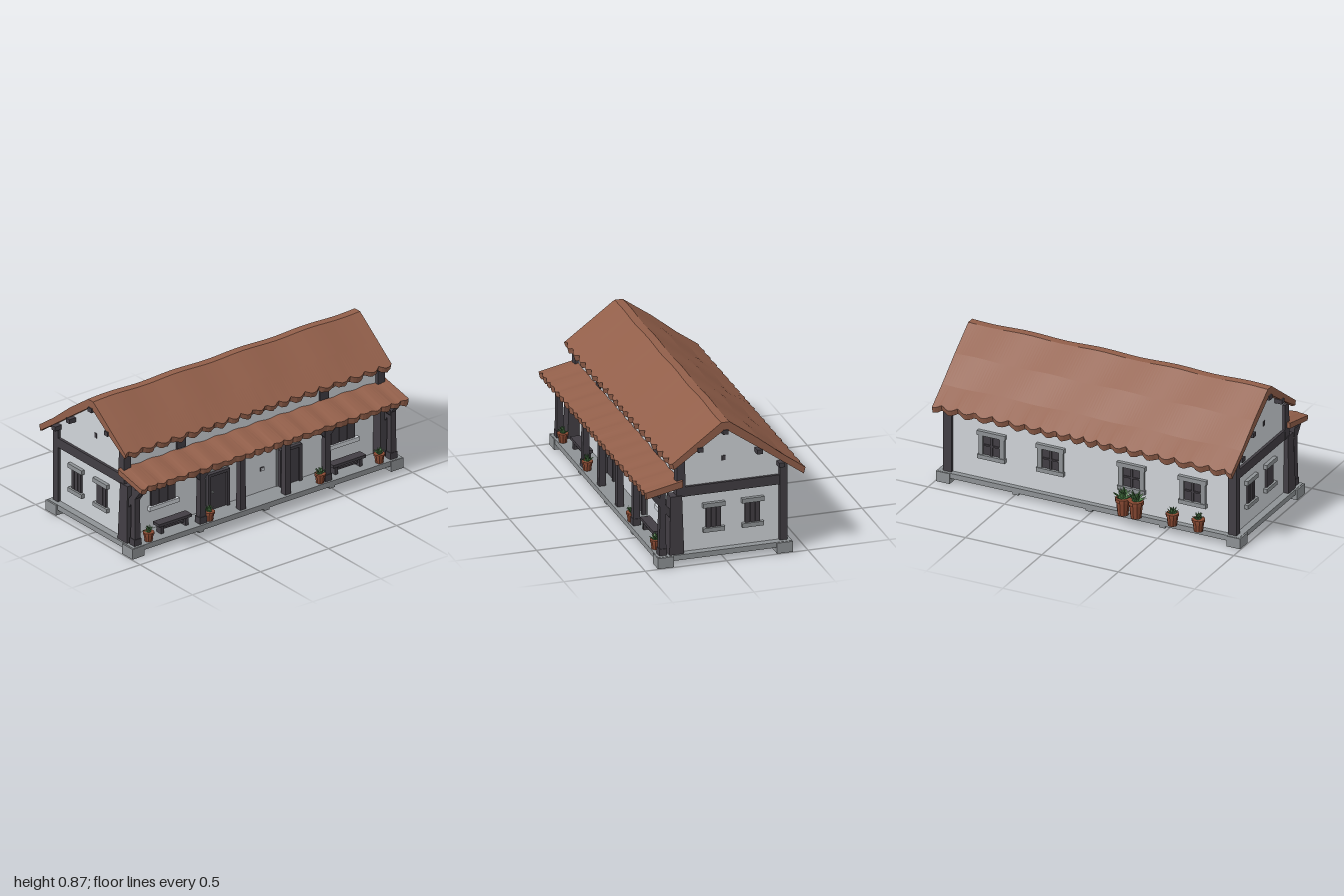
import * as THREE from 'three';

const mat = (name, color, extra = {}) =>
  Object.assign(new THREE.MeshStandardMaterial({ color, flatShading: true, ...extra }), { name });
const M = {
  plaster: mat('plaster', 0xd0d4d9),
  stone: mat('stone', 0x8f9396),
  wood: mat('dark wood', 0x423e44),
  tile: mat('roof tile', 0x925f4a),
  clay: mat('clay', 0x8a4a33),
  leaf: mat('leaf', 0x4a7a45, { side: THREE.DoubleSide }),
};

let seed = 7;
const rand = () => (seed = (seed * 16807) % 2147483647) / 2147483647;

export function createModel() {
  const root = new THREE.Group();
  root.name = 'farmhouse';

  const add = (name, geo, m, parent = root) => {
    const mesh = new THREE.Mesh(geo, m);
    mesh.name = name;
    parent.add(mesh);
    return mesh;
  };
  // box given by its minimum and maximum corners
  const box = (name, m, x0, x1, y0, y1, z0, z1, parent) => {
    const mesh = add(name, new THREE.BoxGeometry(x1 - x0, y1 - y0, z1 - z0), m, parent);
    mesh.position.set((x0 + x1) / 2, (y0 + y1) / 2, (z0 + z1) / 2);
    return mesh;
  };
  // square timber between two points, tapering from w0 to w1
  const timber = (name, a, b, w0, w1 = w0) => {
    const p = new THREE.Vector3(...a), q = new THREE.Vector3(...b), d = q.clone().sub(p);
    const geo = new THREE.CylinderGeometry(w1 / Math.SQRT2, w0 / Math.SQRT2, d.length(), 4).rotateY(Math.PI / 4);
    const mesh = add(name, geo, M.wood);
    mesh.position.copy(p).add(q).multiplyScalar(0.5);
    mesh.quaternion.setFromUnitVectors(new THREE.Vector3(0, 1, 0), d.normalize());
    return mesh;
  };
  // sweep a closed [z, y] cross-section along x
  const sweep = (name, m, half, steps, section) => {
    const rows = [];
    for (let i = 0; i <= steps; i++) {
      const x = -half + (2 * half * i) / steps;
      rows.push(section(x, i).map(([z, y]) => [x, y, z]));
    }
    const pos = [], n = rows[0].length;
    const quad = (a, b, c, d) => pos.push(...a, ...b, ...c, ...a, ...c, ...d);
    for (let i = 0; i < steps; i++)
      for (let j = 0; j < n; j++) {
        const k = (j + 1) % n;
        quad(rows[i][j], rows[i + 1][j], rows[i + 1][k], rows[i][k]);
      }
    for (let j = 0; j < n / 2 - 1; j++) {
      const f = rows[0], l = rows[steps];
      quad(f[j], f[j + 1], f[n - 2 - j], f[n - 1 - j]);
      quad(l[n - 1 - j], l[n - 2 - j], l[j + 1], l[j]);
    }
    const geo = new THREE.BufferGeometry();
    geo.setAttribute('position', new THREE.Float32BufferAttribute(pos, 3));
    geo.computeVertexNormals();
    return add(name, geo, m);
  };

  // stone base: slab, corner feet and joists underneath
  box('baseSlab', M.stone, -0.985, 0.985, 0.035, 0.068, -0.405, 0.415);
  for (const x of [-0.95, 0.95])
    for (const z of [-0.362, 0.37]) box('baseFoot', M.stone, x - 0.045, x + 0.045, 0, 0.066, z - 0.048, z + 0.05);
  for (const x of [-0.48, 0, 0.48]) box('baseJoist', M.stone, x - 0.02, x + 0.02, 0.02, 0.04, -0.4, 0.41);

  // plastered walls with gables
  const outline = new THREE.Shape(
    [[0.27, 0.06], [0.27, 0.645], [0, 0.825], [-0.37, 0.57], [-0.37, 0.06]].map(p => new THREE.Vector2(...p)));
  add('walls', new THREE.ExtrudeGeometry(outline, { depth: 1.88, bevelEnabled: false })
    .translate(0, 0, -0.94).rotateY(-Math.PI / 2), M.plaster);

  // main roof with scalloped eaves and a wavy ridge
  const scallop = x => 0.022 * Math.abs(Math.sin((x * Math.PI) / 0.1 + 0.7 * Math.sin(5 * x)));
  sweep('mainRoof', M.tile, 0.98, 112, x => {
    const f = scallop(x + 0.03), b = scallop(x), r = 0.004 * Math.sin(13 * x), jag = 0.012 * rand();
    return [
      [0.318 + f, 0.65 - f * 0.7], [0.19, 0.745 + r], [0.025, 0.866 + r], [-0.025, 0.866 + r],
      [-0.2, 0.74 - r], [-0.36, 0.612 + r], [-0.47 - b, 0.535 - b * 0.8],
      [-0.46 - b, 0.5 - b * 0.8 - jag * 0.4], [-0.36, 0.567], [-0.2, 0.682],
      [-0.01, 0.816], [0.01, 0.816], [0.17, 0.708], [0.308 + f, 0.622 - f * 0.7 - jag],
    ];
  });
  // porch roof
  sweep('porchRoof', M.tile, 0.98, 112, x => {
    const f = scallop(x * 1.3) * 0.6, w = 0.004 * Math.sin(40 * x), jag = 0.01 * rand();
    return [[0.482 + f, 0.482 - f * 0.4 + w], [0.26, 0.527 + w], [0.26, 0.488], [0.475 + f, 0.45 - f * 0.4 - jag]];
  });

  // timber frame on both gable ends
  for (const s of [-1, 1]) {
    const span = (a, b) => [Math.min(s * a, s * b), Math.max(s * a, s * b)];
    box('gableBeam', M.wood, ...span(0.9, 0.957), 0.42, 0.48, -0.345, 0.29);
    box('rearPost', M.wood, ...span(0.905, 0.96), 0.066, 0.56, -0.387, -0.34);
    timber('frontPost', [s * 0.93, 0.066, 0.297], [s * 0.93, 0.43, 0.297], 0.09, 0.07);
    timber('upperFrontPost', [s * 0.932, 0.42, 0.266], [s * 0.932, 0.64, 0.266], 0.055, 0.05);
    timber('sideBrace', [s * 0.94, 0.3, 0.315], [s * 0.94, 0.455, 0.44], 0.035);
    // purlin ends under the roof
    for (const [z, y] of [[0, 0.805], [0.155, 0.712], [-0.21, 0.653], [-0.345, 0.552]])
      box('purlinEnd', M.wood, ...span(0.93, 0.988), y - 0.014, y + 0.014, z - 0.017, z + 0.017);
    // gable vent
    box('gableVent', M.wood, ...span(0.938, 0.944), 0.612, 0.642, -0.011, 0.011);
  }

  // porch posts, eave beam and braces
  for (const x of [-0.94, -0.46, -0.165, 0.165, 0.46, 0.94]) {
    timber('porchPost', [x, 0.066, 0.378], [x, 0.46, 0.378], 0.042, 0.034);
    if (Math.abs(x) < 0.3) continue;
    box('postFoot', M.wood, x - 0.025, x + 0.025, 0.066, 0.11, 0.354, 0.402);
    for (const s of [-1, 1])
      if (Math.abs(x + s * 0.1) < 0.95) timber('postBrace', [x, 0.35, 0.378], [x + s * 0.095, 0.445, 0.378], 0.026);
  }
  box('porchBeam', M.wood, -0.96, 0.96, 0.438, 0.464, 0.362, 0.394);

  // window facing +z at its own origin, turned onto a wall
  const makeWindow = (x, y, z, turn, w, h, framed) => {
    const g = new THREE.Group();
    g.name = 'window';
    const a = w / 2, b = h / 2;
    box('pane', M.wood, -a, a, -b, b, -0.004, 0.004, g);
    box('lintel', M.stone, -a - 0.022, a + 0.022, b, b + 0.028, -0.01, 0.022, g);
    box('sill', M.stone, -a - 0.02, a + 0.02, -b - 0.026, -b, -0.01, 0.022, g);
    if (framed) {
      for (const s of [-1, 1]) box('jamb', M.stone, s * a - 0.014, s * a + 0.014, -b, b, -0.01, 0.016, g);
      box('mullion', M.wood, -0.006, 0.006, -b, b, 0, 0.012, g);
      box('crossbar', M.wood, -a, a, -0.005, 0.005, 0, 0.011, g);
    } else {
      for (let i = 0; i < 3; i++)
        box('shutterBoard', M.wood, -a + (i * w) / 3 + 0.002, -a + ((i + 1) * w) / 3 - 0.002, -b, b, 0, 0.01, g);
    }
    g.position.set(x, y, z);
    g.rotation.y = turn;
    root.add(g);
    return g;
  };
  for (const s of [-1, 1]) {
    for (const z of [0.063, -0.177]) makeWindow(s * 0.941, 0.267, z, (s * Math.PI) / 2, 0.092, 0.128, false);
    makeWindow(s * 0.66, 0.275, 0.271, 0, 0.18, 0.11, false).children[2].material = M.plaster;
    box('upperWindow', M.wood, s * 0.525 - 0.034, s * 0.525 + 0.034, 0.53, 0.61, 0.26, 0.278);
    // door in a stone surround
    const d = s * 0.265;
    box('doorSurround', M.stone, d - 0.09, d + 0.09, 0.066, 0.34, 0.26, 0.275);
    box('door', M.wood, d - 0.075, d + 0.075, 0.066, 0.3, 0.265, 0.288);
    for (const e of [-1, 1])
      box('doorJamb', M.wood, d + e * 0.07 - 0.01, d + e * 0.07 + 0.01, 0.066, 0.305, 0.27, 0.3);
    box('doorHead', M.wood, d - 0.08, d + 0.08, 0.288, 0.306, 0.27, 0.3);
    box('doorHandle', M.stone, d - 0.047, d - 0.037, 0.175, 0.19, 0.285, 0.298);
    // small wall vent
    box('wallVent', M.wood, s * 0.072 - 0.015, s * 0.072 + 0.015, 0.2, 0.224, 0.268, 0.274);
    box('ventCover', M.plaster, s * 0.072 - 0.011, s * 0.072 + 0.011, 0.204, 0.22, 0.27, 0.277);
    // bench
    const c = s * 0.64;
    box('benchSeat', M.wood, c - 0.12, c + 0.12, 0.118, 0.136, 0.31, 0.37);
    for (const e of [-1, 1])
      box('benchLeg', M.wood, c + e * 0.09 - 0.011, c + e * 0.09 + 0.011, 0.066, 0.12, 0.318, 0.362);
    box('benchRail', M.wood, c - 0.09, c + 0.09, 0.086, 0.098, 0.333, 0.347);
  }
  for (const x of [0.645, 0.26, -0.27, -0.67]) makeWindow(x, 0.288, -0.371, Math.PI, 0.14, 0.125, true);

  // potted plants: clay pot, rim and leaves fanning outwards
  const pot = (x, z, r, h, leafSize) => {
    const g = new THREE.Group();
    g.name = 'pottedPlant';
    add('pot', new THREE.CylinderGeometry(r * 0.92, r * 0.68, h, 10), M.clay, g).position.y = h / 2;
    add('potRim', new THREE.CylinderGeometry(r, r, h * 0.2, 10), M.clay, g).position.y = h * 0.93;
    for (let i = 0; i < 16; i++) {
      const leaf = add('leaf', new THREE.ConeGeometry(leafSize * 0.32, leafSize, 4)
        .scale(1, 1, 0.45).translate(0, leafSize / 2, 0), M.leaf, g);
      leaf.position.y = h * 0.95;
      leaf.rotation.set(0.15 + 1.0 * rand(), i * 2.4, 0, 'YXZ');
    }
    g.position.set(x, 0.068, z);
    root.add(g);
  };
  for (const [x, z] of [[-0.85, 0.385], [-0.405, 0.385], [0.41, 0.385], [0.845, 0.385]]) pot(x, z, 0.035, 0.056, 0.046);
  for (const x of [-0.325, -0.24]) pot(x, -0.432, 0.047, 0.105, 0.075);
  for (const x of [-0.56, -0.73]) pot(x, -0.425, 0.04, 0.075, 0.048);

  return root;
}
